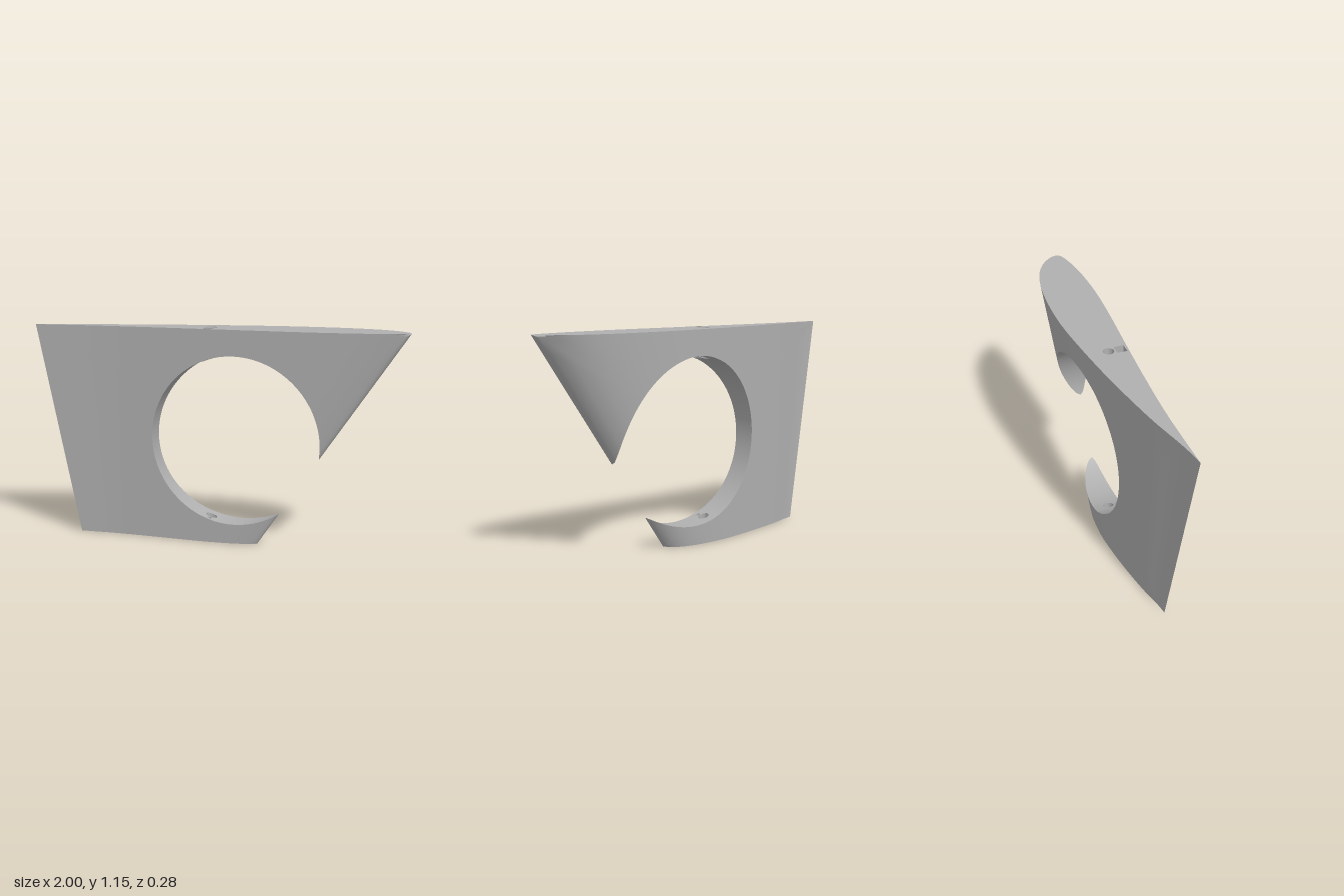
import * as THREE from 'three';
import { toCreasedNormals } from 'three/addons/utils/BufferGeometryUtils.js';

const H = 1.15;                       // height of the wing section
const C = { x: 0.1, y: 0.56, r: 0.453 }; // round cut-out

// Aerofoil half-profiles, sampled from the nose (s = 0) to the tail (s = 1)
const profile = (zs) => new THREE.SplineCurve(zs.map((z, i) => new THREE.Vector2(i, z)));
const frontProfile = profile([0.066, 0.09, 0.108, 0.125, 0.136, 0.138, 0.127, 0.107, 0.086, 0.069, 0.068]);
const backProfile = profile([0.066, 0.018, -0.04, -0.09, -0.124, -0.142, -0.143, -0.119, -0.078, -0.016, 0.068]);

const noseX = (y) => 0.22 + 0.78 * y / H;
const tailX = (y) => -0.78 - 0.22 * y / H;

// Depth of the tapered skin at a planform point
function skinZ(curve, x, y) {
  const chord = noseX(y) - tailX(y);
  const w = THREE.MathUtils.clamp((noseX(y) - x) / chord, 0, 1);
  return curve.getPoint(Math.sqrt(w)).y * chord / 2;
}
const ringY = (x, side) => C.y + side * Math.sqrt(C.r ** 2 - (x - C.x) ** 2);

// Distance from the cut-out centre to the planform outline along an angle
function reach(a) {
  const dx = Math.cos(a), dy = Math.sin(a);
  const hits = [];
  if (dy > 1e-9) hits.push((H - C.y) / dy);
  if (dy < -1e-9) hits.push(-C.y / dy);
  const kn = 0.78 / H, kt = -0.22 / H;
  hits.push((noseX(C.y) - C.x) / (dx - kn * dy), (tailX(C.y) - C.x) / (dx - kt * dy));
  return Math.max(C.r, Math.min(...hits.filter((t) => t > 0)));
}

function fromTriangles(pos, crease) {
  const g = new THREE.BufferGeometry();
  g.setAttribute('position', new THREE.Float32BufferAttribute(pos, 3));
  g.computeVertexNormals();
  return crease ? toCreasedNormals(g, crease) : g;
}
const quad = (pos, a, b, c, d) => pos.push(...a, ...b, ...c, ...a, ...c, ...d);

// Vertical bores: outline points in x and z
const bore = (x, z, rx, rz, n) => Array.from({ length: n }, (_, k) => {
  const a = (k + 0.5) / n * Math.PI * 2;
  return [x + rx * Math.cos(a), z + rz * Math.sin(a)];
});
const upperBores = [bore(-0.04, 0, 0.029, 0.029, 28), bore(-0.04, 0.0635, 0.0396, 0.0375, 4)];
const lowerBores = [bore(-0.04, 0, 0.029, 0.029, 28), bore(-0.04, 0.045, 0.011, 0.011, 16)];

// Horizontal face between the two skins, pierced by bores; up = 1 or -1
function face(x0, x1, yAt, bores, up, n) {
  const front = [], back = [];
  for (let i = 0; i <= n; i++) {
    const k = 1 - (1 - i / n) ** 2;
    const x = x0 + (x1 - x0) * k;
    front.push(new THREE.Vector2(x, -up * skinZ(frontProfile, x, yAt(x))));
    back.push(new THREE.Vector2(x, -up * skinZ(backProfile, x, yAt(x))));
  }
  const shape = new THREE.Shape([...front, ...back.reverse()]);
  for (const b of bores) {
    shape.holes.push(new THREE.Path(b.map(([x, z]) => new THREE.Vector2(x, -up * z))));
  }
  const g = new THREE.ShapeGeometry(shape);
  g.rotateX(-up * Math.PI / 2);
  const p = g.attributes.position;
  for (let i = 0; i < p.count; i++) p.setY(i, yAt(p.getX(i)));
  g.computeVertexNormals();
  return g;
}

function shaft(points, low, high) {
  const pos = [];
  points.forEach(([x, z], i) => {
    const [x2, z2] = points[(i + 1) % points.length];
    quad(pos, [x, low(x), z], [x2, low(x2), z2], [x2, high(x2), z2], [x, high(x), z]);
  });
  return fromTriangles(pos, 0.6);
}

export function createModel() {
  const group = new THREE.Group();
  const grey = new THREE.MeshStandardMaterial({ color: 0xb0b0b0, side: THREE.DoubleSide });
  grey.name = 'plain grey';
  const add = (name, geometry) => {
    const mesh = new THREE.Mesh(geometry, grey);
    mesh.name = name;
    group.add(mesh);
  };

  // Angles where the cut-out breaks through the leading edge
  const lineAngle = Math.atan2(H, 0.78);
  const gap = (noseX(C.y) - C.x) * Math.sin(lineAngle);
  const half = Math.acos(gap / C.r), middle = lineAngle - Math.PI / 2;

  // Angular stops: gap ends, planform corners and edges of the bored patches
  const px0 = -0.085, px1 = 0.005;
  const angleTo = (x, y) => {
    const a = Math.atan2(y - C.y, x - C.x);
    return a < middle + half - 1e-6 ? a + Math.PI * 2 : a;
  };
  const topPatch = angleTo(px1, ringY(px1, 1)), lowPatch = angleTo(px0, ringY(px0, -1));
  const stops = [
    middle + half, angleTo(1, H), topPatch, angleTo(px0, ringY(px0, 1)), angleTo(-1, H),
    angleTo(-0.78, 0), lowPatch, angleTo(px1, ringY(px1, -1)), angleTo(0.22, 0),
    middle - half + Math.PI * 2,
  ];

  // Skins run outward from the cut-out; the ring wall joins them
  const skin = [], wall = [], rows = 24;
  const point = (a, j, curve) => {
    const t = 1 - (1 - j / rows) ** 2;
    const d = C.r + (reach(a) - C.r) * t;
    const x = C.x + d * Math.cos(a), y = C.y + d * Math.sin(a);
    return [x, y, skinZ(curve, x, y)];
  };
  for (let s = 0; s < stops.length - 1; s++) {
    const n = Math.ceil((stops[s + 1] - stops[s]) / 0.035);
    for (let i = 0; i < n; i++) {
      const a = THREE.MathUtils.lerp(stops[s], stops[s + 1], i / n);
      const b = THREE.MathUtils.lerp(stops[s], stops[s + 1], (i + 1) / n);
      for (let j = 0; j < rows; j++) {
        const f = (q, k) => point(q, k, frontProfile), r = (q, k) => point(q, k, backProfile);
        quad(skin, f(a, j), f(a, j + 1), f(b, j + 1), f(b, j));
        quad(skin, r(a, j), r(b, j), r(b, j + 1), r(a, j + 1));
      }
      if (stops[s] !== topPatch && stops[s] !== lowPatch) {
        quad(wall, point(a, 0, frontProfile), point(b, 0, frontProfile),
          point(b, 0, backProfile), point(a, 0, backProfile));
      }
    }
  }
  add('wingSkin', fromTriangles(skin, 0.6));
  add('cutoutWall', fromTriangles(wall, 0.6));

  // End faces and the bored parts of the cut-out wall
  const top = () => H, bottom = () => 0;
  const ringTop = (x) => ringY(x, 1), ringBottom = (x) => ringY(x, -1);
  add('topFace', face(-1, 1, top, upperBores, 1, 60));
  add('bottomFace', face(-0.78, 0.22, bottom, lowerBores, -1, 60));
  add('upperCutoutPatch', face(px0, px1, ringTop, upperBores, -1, 6));
  add('lowerCutoutPatch', face(px0, px1, ringBottom, lowerBores, 1, 6));

  // Bore walls
  upperBores.forEach((b) => add('upperBore', shaft(b, ringTop, top)));
  lowerBores.forEach((b) => add('lowerBore', shaft(b, bottom, ringBottom)));
  return group;
}
